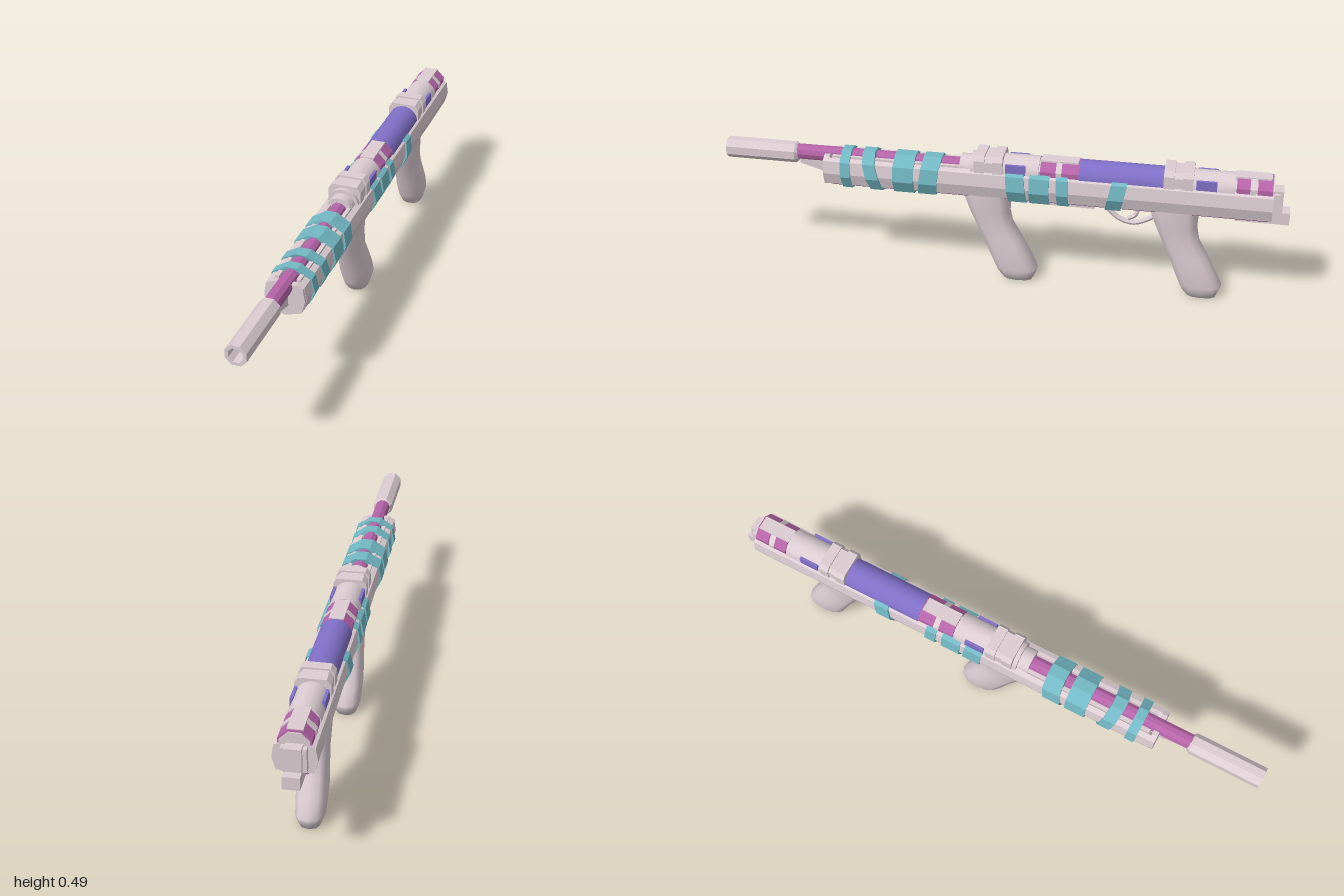
import * as THREE from 'three';

const mat = (color) => new THREE.MeshStandardMaterial({ color, flatShading: true, side: THREE.DoubleSide });

export function createModel() {
  const model = new THREE.Group();
  const grey = mat(0xdccdd2), pink = mat(0xb564a8), purple = mat(0x8070c8), cyan = mat(0x72b8c4);
  const smoothGrey = mat(0xdccdd2), smoothPurple = mat(0x8070c8);
  smoothGrey.flatShading = smoothPurple.flatShading = false;

  const add = (name, geo, material) => {
    const mesh = new THREE.Mesh(geo, material);
    mesh.name = name;
    model.add(mesh);
    return mesh;
  };

  // Mirrored half outline [x, y] (bottom to top) swept from z0 to z1, with optional lean
  const prism = (name, half, z0, z1, material, lean = 0) => {
    const left = half.filter((p) => p[0] > 0).reverse().map(([x, y]) => [-x, y]);
    const shape = new THREE.Shape([...half, ...left].map(([x, y]) => new THREE.Vector2(x, y)));
    const geo = new THREE.ExtrudeGeometry(shape, { depth: Math.abs(z1 - z0), bevelEnabled: false });
    geo.translate(0, 0, Math.min(z0, z1));
    const p = geo.attributes.position;
    for (let i = 0; i < p.count; i++) p.setZ(i, p.getZ(i) + (p.getY(i) - 0.39) * lean);
    geo.computeVertexNormals();
    return add(name, geo, material);
  };

  const box = (name, x, y, z, w, h, d, material) =>
    add(name, new THREE.BoxGeometry(w, h, d).translate(x, y, z), material);

  // Round part along z
  const rod = (name, r, y, z0, z1, material, sides = 16) => {
    const geo = new THREE.CylinderGeometry(r, r, Math.abs(z1 - z0), sides);
    geo.rotateY(Math.PI / sides).rotateX(Math.PI / 2).translate(0, y, (z0 + z1) / 2);
    return add(name, geo, material);
  };

  // Hollow muzzle tube and barrel
  const muzzle = [[0, 0.735], [0.03, 0.735], [0.038, 0.745], [0.038, 1], [0.026, 1], [0.022, 0.9], [0, 0.9]];
  add('muzzleTube', new THREE.LatheGeometry(muzzle.map(([x, y]) => new THREE.Vector2(x, y)), 8)
    .rotateY(Math.PI / 8).rotateX(Math.PI / 2).translate(0, 0.426, 0), grey);
  rod('barrel', 0.028, 0.43, 0.1, 0.74, pink, 10);

  // Lug under the barrel, tapering forward
  const lug = new THREE.BoxGeometry(0.024, 0.05, 0.1).translate(0, 0.385, 0.68);
  const lp = lug.attributes.position;
  for (let i = 0; i < lp.count; i++) if (lp.getZ(i) > 0.7 && lp.getY(i) < 0.38) lp.setY(i, 0.39);
  lug.computeVertexNormals();
  add('barrelLug', lug, grey);

  // Long stock body with coloured underside and front plate
  prism('body', [[0.058, 0.342], [0.07, 0.385], [0.063, 0.43], [0.045, 0.438], [0.028, 0.42]], -0.94, 0.62, grey);
  prism('underside', [[0, 0.324], [0.035, 0.328], [0.057, 0.346]], -0.93, 0.61, pink);
  prism('frontPlate', [[0, 0.322], [0.056, 0.34], [0.069, 0.385], [0.062, 0.43], [0.04, 0.442]], 0.61, 0.63, grey);
  for (const s of [-1, 1]) box('sideRail', s * 0.036, 0.436, 0.36, 0.014, 0.016, 0.48, grey);
  box('lowerHousing', 0, 0.335, -0.25, 0.06, 0.036, 0.17, grey);

  // Wrapped bands: [front z, back z, lean]
  const wrap = [[0, 0.316], [0.055, 0.331], [0.077, 0.378], [0.068, 0.431], [0.038, 0.449], [0.02, 0.461]];
  const bands = [
    [0.565, 0.53, 0.05], [0.475, 0.43, 0.25], [0.375, 0.3, 0], [0.28, 0.215, -0.12],
    [-0.03, -0.095, 0.1], [-0.11, -0.18, 0], [-0.205, -0.245, 0.05], [-0.385, -0.44, -0.2],
  ];
  for (const [a, b, lean] of bands) prism('wrapBand', wrap, a, b, cyan, lean);

  // Upper receiver tube, built in coloured lengths
  const yc = 0.431;
  rod('frontCollar', 0.046, yc - 0.004, 0.1, 0.14, smoothGrey);
  rod('frontReceiver', 0.055, yc, 0.1, -0.14, smoothGrey);
  rod('receiverCore', 0.05, yc, -0.14, -0.28, grey, 8);
  rod('powerCell', 0.055, yc, -0.28, -0.57, smoothPurple, 20);
  rod('rearReceiver', 0.055, yc, -0.57, -0.81, smoothGrey);
  rod('rearCore', 0.05, yc, -0.81, -0.94, grey, 8);

  // Coloured segments with grey spines and plates
  for (const [z0, z1] of [[-0.145, -0.2], [-0.22, -0.28], [-0.815, -0.865], [-0.885, -0.935]]) {
    rod('accentSegment', 0.056, yc, z0, z1, pink, 8);
  }
  for (const [z, d] of [[-0.21, 0.13], [-0.87, 0.12]]) {
    box('topSpine', 0, 0.467, z, 0.05, 0.036, d, grey);
    rod('spacerRing', 0.058, yc, z - 0.01, z + 0.01, grey, 8);
  }

  // Side windows on the receiver
  for (const s of [-1, 1]) for (const z of [-0.06, -0.715]) {
    box('sideWindow', s * 0.05, 0.452, z, 0.01, 0.034, 0.07, purple);
  }

  // Clamps with raised ribs
  const clamp = (top, w) => [[w, 0.41], [w, top - 0.018], [w - 0.014, top], [0.01, top]];
  for (const z of [0.035, -0.62]) {
    prism('clampBase', clamp(0.488, 0.054), z - 0.05, z + 0.05, grey);
    for (const o of [-0.032, 0.032]) prism('clampRib', clamp(0.494, 0.058), z + o - 0.018, z + o + 0.018, grey);
  }

  // Tail bracket
  box('tailPlate', 0, 0.395, -0.95, 0.08, 0.08, 0.02, grey);
  box('tailColumn', 0, 0.392, -0.955, 0.054, 0.1, 0.035, grey);
  box('tailFoot', 0, 0.34, -0.908, 0.054, 0.044, 0.184, grey);

  // Grip lofted from rounded sections: [y, front z, back z, half width]
  const rows = [
    [0.37, 0.13, -0.04, 0.048], [0.33, 0.136, -0.037, 0.05], [0.27, 0.114, -0.035, 0.047],
    [0.215, 0.09, -0.046, 0.045], [0.16, 0.064, -0.077, 0.048], [0.1, 0.04, -0.108, 0.052],
    [0.045, 0.018, -0.135, 0.049], [0.028, 0.008, -0.13, 0.046], [0.002, -0.012, -0.12, 0.037],
  ];
  const sides = 12, pos = [], idx = [];
  const round = (v) => Math.sign(v) * Math.abs(v) ** 0.75;
  rows.forEach(([y, f, b, w]) => {
    for (let i = 0; i < sides; i++) {
      const a = (i / sides) * Math.PI * 2;
      pos.push(w * round(Math.sin(a)), y, (f + b) / 2 + ((f - b) / 2) * round(Math.cos(a)));
    }
  });
  for (let r = 0; r < rows.length - 1; r++) for (let i = 0; i < sides; i++) {
    const a = r * sides + i, b = r * sides + ((i + 1) % sides);
    idx.push(a, a + sides, b, b, a + sides, b + sides);
  }
  const last = (rows.length - 1) * sides;
  for (let i = 1; i < sides - 1; i++) idx.push(last, last + i + 1, last + i);
  const gripGeo = new THREE.BufferGeometry();
  gripGeo.setAttribute('position', new THREE.Float32BufferAttribute(pos, 3));
  gripGeo.setIndex(idx);
  gripGeo.computeVertexNormals();
  add('frontGrip', gripGeo, smoothGrey);
  add('rearGrip', gripGeo, smoothGrey).position.z = -0.658;

  // Trigger guard and trigger
  const curve = (pts) => new THREE.CatmullRomCurve3(pts.map(([z, y]) => new THREE.Vector3(0, y, z)));
  add('triggerGuard', new THREE.TubeGeometry(
    curve([[-0.35, 0.34], [-0.38, 0.31], [-0.42, 0.275], [-0.47, 0.262], [-0.52, 0.28], [-0.56, 0.31]]), 20, 0.009, 6), grey);
  add('trigger', new THREE.TubeGeometry(
    curve([[-0.475, 0.35], [-0.485, 0.315], [-0.475, 0.29], [-0.452, 0.278]]), 10, 0.008, 6), grey);

  return model;
}
